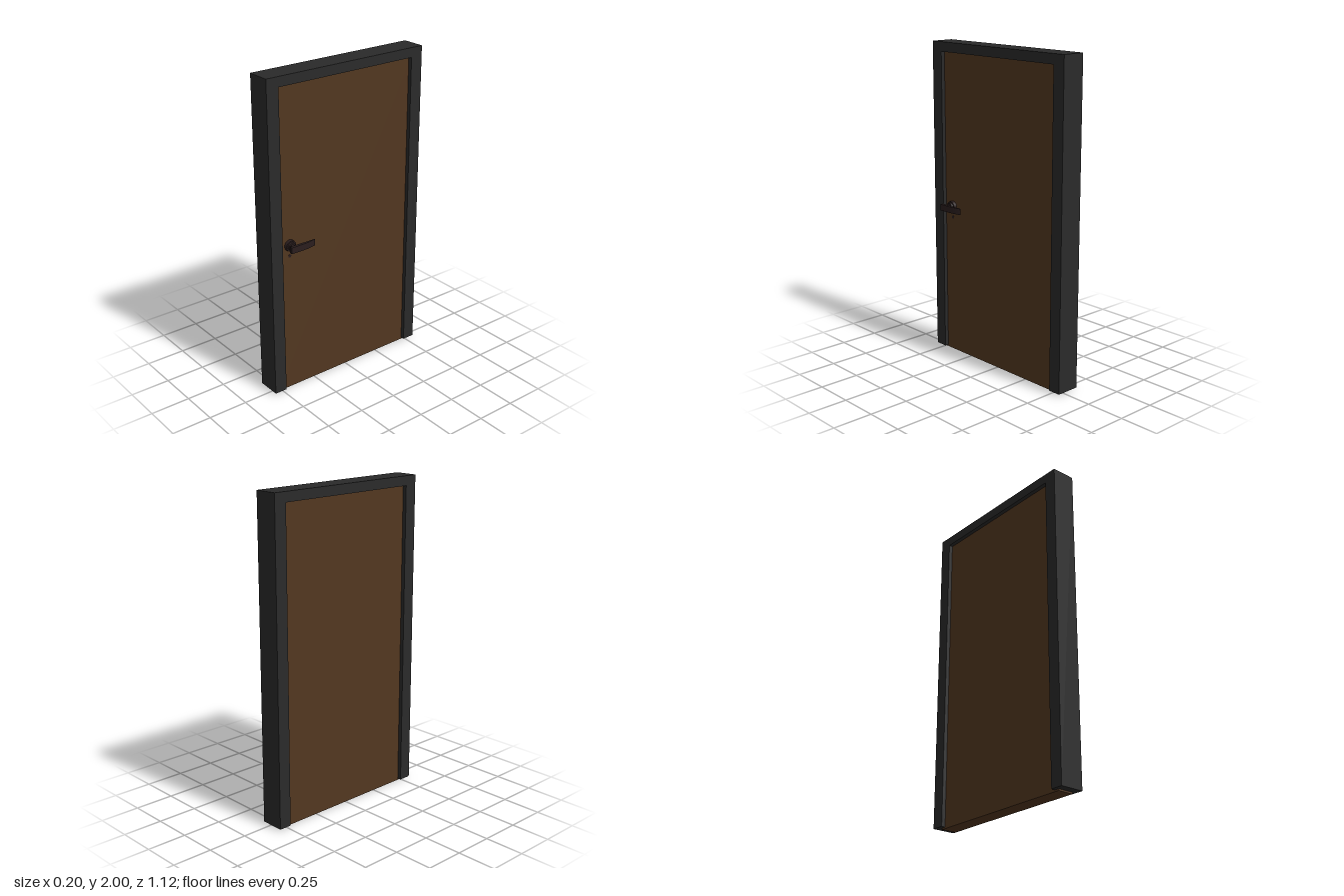
import * as THREE from 'three';

const material = (color) => new THREE.MeshStandardMaterial({ color });

export function createModel() {
  const group = new THREE.Group();
  const frameMat = material(0x2a2a2a);
  const doorMat = material(0x523720);
  const metalMat = material(0x2a1e1e);

  const add = (name, geometry, mat) => {
    const mesh = new THREE.Mesh(geometry, mat);
    mesh.name = name;
    group.add(mesh);
    return mesh;
  };
  const points = (list) => list.map(([a, b]) => new THREE.Vector2(a, b));

  // Frame: two jambs and a head, drawn in (z, y) and extruded through the wall
  const outline = new THREE.Shape(points([
    [-0.56, 0.01], [-0.48, 0.01], [-0.48, 1.94], [0.48, 1.94],
    [0.48, 0.01], [0.56, 0.01], [0.56, 2], [-0.56, 2],
  ]));
  const frame = new THREE.ExtrudeGeometry(outline, { depth: 0.15, bevelEnabled: false });
  frame.rotateY(-Math.PI / 2).translate(0.05, 0, 0);
  add('frame', frame, frameMat);

  // Door leaf, its edges set into the frame
  const leaf = new THREE.BoxGeometry(0.1, 1.955, 1.02);
  leaf.translate(-0.025, 0.9775, 0);
  add('doorLeaf', leaf, doorMat);

  // Round handle parts, turned about the x axis: start, end, start radius, end radius
  const turned = (name, x0, x1, r0, r1, y) => {
    const geometry = new THREE.CylinderGeometry(r1, r0, x1 - x0, 32);
    geometry.rotateZ(-Math.PI / 2).translate((x0 + x1) / 2, y, 0.415);
    add(name, geometry, metalMat);
  };
  turned('handleRose', 0.02, 0.045, 0.036, 0.034, 0.968);
  turned('handleCollar', 0.045, 0.056, 0.026, 0.024, 0.968);
  turned('handleSpindle', 0.05, 0.085, 0.014, 0.014, 0.968);
  turned('keyhole', 0.02, 0.027, 0.01, 0.01, 0.897);

  // Lever: plan in (x, z) with a curved outer side tapering to the tip
  const plan = new THREE.Shape();
  plan.moveTo(0.079, 0.45);
  plan.lineTo(0.083, 0.277);
  plan.lineTo(0.085, 0.275);
  plan.quadraticCurveTo(0.099, 0.32, 0.099, 0.375);
  plan.lineTo(0.099, 0.45);
  plan.closePath();
  const lever = new THREE.ExtrudeGeometry(plan, { depth: 0.04, bevelEnabled: false, curveSegments: 10 });
  lever.rotateX(Math.PI / 2).translate(0, 0.988, 0);
  add('handleLever', lever, metalMat);

  return group;
}
